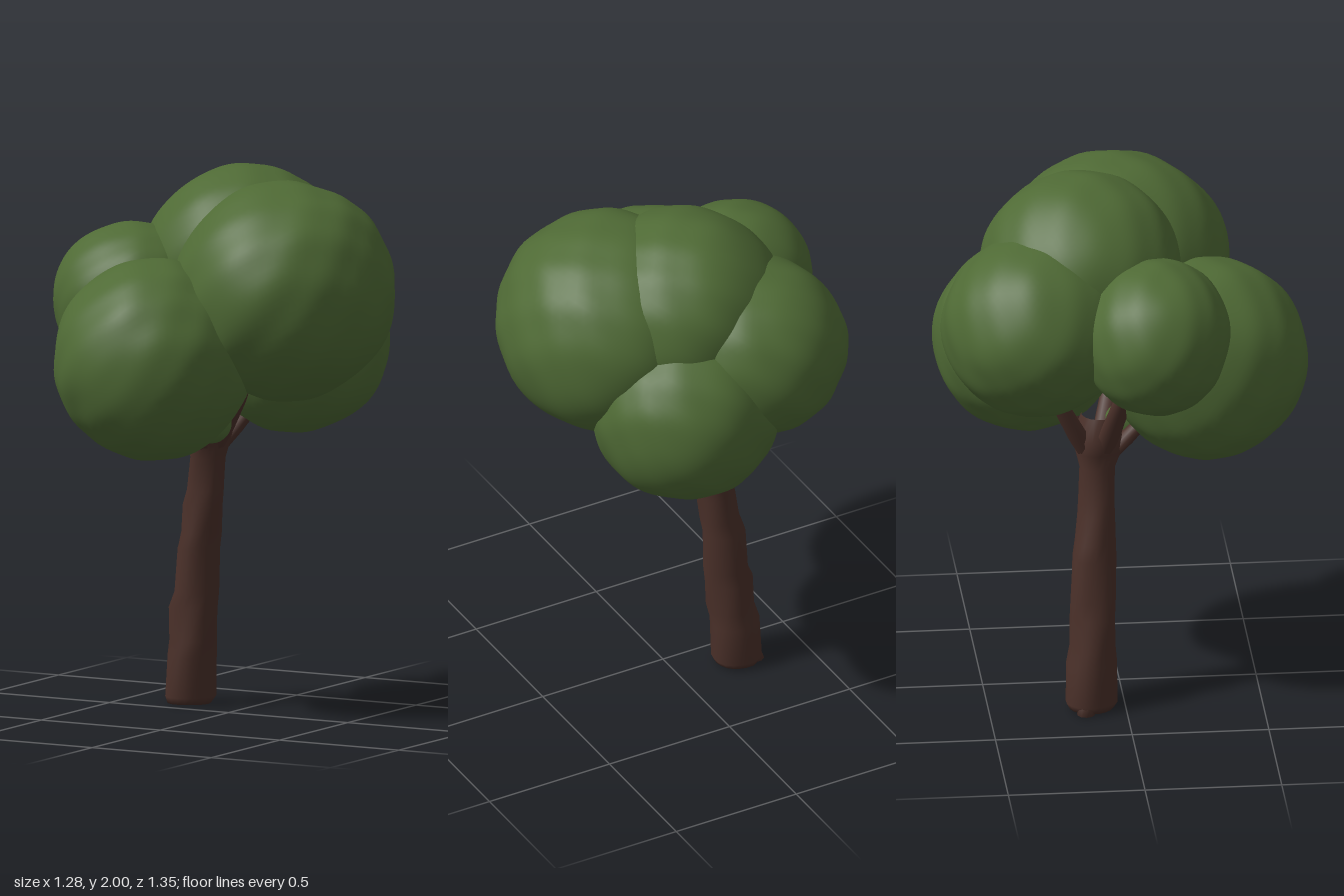
import * as THREE from 'three';
import { mergeVertices } from 'three/addons/utils/BufferGeometryUtils.js';

const leafGreen = new THREE.MeshStandardMaterial({ color: 0x4f6a35 });
leafGreen.name = 'leafGreen';
const barkBrown = new THREE.MeshStandardMaterial({ color: 0x4a3029 });
barkBrown.name = 'barkBrown';

// Gently lumpy ellipsoid with smooth normals
function leafGeometry([x, y, z], [rx, ry, rz], seed) {
  let g = new THREE.IcosahedronGeometry(1, 14);
  g.deleteAttribute('normal');
  g.deleteAttribute('uv');
  g = mergeVertices(g, 1e-4);
  const p = g.attributes.position;
  const v = new THREE.Vector3();
  for (let i = 0; i < p.count; i++) {
    v.fromBufferAttribute(p, i);
    const lump =
      0.012 * Math.sin(6 * v.x + seed) * Math.sin(5 * v.y + 2 * seed) +
      0.009 * Math.sin(11 * v.z + seed * 3) * Math.cos(10 * v.x - 9 * v.y + seed);
    v.multiplyScalar(1 + lump);
    p.setXYZ(i, x + v.x * rx, y + v.y * ry, z + v.z * rz);
  }
  g.computeVertexNormals();
  return g;
}

// Loft through horizontal sections [x, y, z, rx, rz], slightly uneven around
function loft(sections, sides, bump = 0) {
  const pos = [];
  const index = [];
  sections.forEach(([x, y, z, rx, rz], j) => {
    for (let i = 0; i < sides; i++) {
      const a = (i / sides) * Math.PI * 2;
      const k = 1 + bump * Math.sin(3 * a + j * 1.3) + bump * 0.6 * Math.sin(5 * a - j * 0.8);
      pos.push(x + Math.cos(a) * rx * k, y, z + Math.sin(a) * rz * k);
    }
  });
  for (let j = 0; j < sections.length - 1; j++) {
    for (let i = 0; i < sides; i++) {
      const a = j * sides + i;
      const b = j * sides + ((i + 1) % sides);
      index.push(a, a + sides, b, b, a + sides, b + sides);
    }
  }
  const g = new THREE.BufferGeometry();
  g.setAttribute('position', new THREE.Float32BufferAttribute(pos, 3));
  g.setIndex(index);
  g.computeVertexNormals();
  return g;
}

export function createModel() {
  const tree = new THREE.Group();
  tree.name = 'tree';
  const add = (name, geometry, material, parent = tree) => {
    const m = new THREE.Mesh(geometry, material);
    m.name = name;
    parent.add(m);
  };

  // Leaning trunk, closed at the foot and flared under the crown
  add('trunk', loft([
    [-0.235, 0.005, -0.125, 0, 0],
    [-0.237, 0.005, -0.125, 0.08, 0.08],
    [-0.235, 0.03, -0.126, 0.093, 0.095],
    [-0.228, 0.18, -0.124, 0.089, 0.093],
    [-0.215, 0.24, -0.116, 0.088, 0.084],
    [-0.212, 0.36, -0.115, 0.09, 0.083],
    [-0.197, 0.42, -0.114, 0.08, 0.083],
    [-0.19, 0.58, -0.112, 0.077, 0.08],
    [-0.175, 0.64, -0.106, 0.073, 0.074],
    [-0.165, 0.74, -0.1, 0.073, 0.069],
    [-0.152, 0.8, -0.097, 0.068, 0.066],
    [-0.142, 0.92, -0.095, 0.064, 0.064],
    [-0.135, 0.98, -0.09, 0.075, 0.085],
    [-0.13, 1.04, -0.09, 0.09, 0.09],
    [-0.13, 1.12, -0.09, 0.06, 0.06],
  ], 20, 0.03), barkBrown);

  // Foot spur on the outer side
  add('rootSpur', loft([
    [-0.3, 0, -0.15, 0, 0],
    [-0.3, 0, -0.15, 0.034, 0.034],
    [-0.295, 0.04, -0.145, 0.022, 0.03],
    [-0.28, 0.12, -0.14, 0.01, 0.015],
  ], 10), barkBrown);

  // Short branches spreading into the crown
  const branches = new THREE.Group();
  branches.name = 'branches';
  tree.add(branches);
  const tips = [
    [0.1, 1.28, 0], [-0.12, 1.18, 0.16], [-0.32, 1.36, 0.02],
    [-0.22, 1.28, -0.28], [0.04, 1.2, -0.26],
  ];
  tips.forEach(([tx, ty, tz], i) => {
    const at = (t, r) => [
      THREE.MathUtils.lerp(-0.138, tx, t),
      THREE.MathUtils.lerp(0.91, ty, t),
      THREE.MathUtils.lerp(-0.095, tz, t), r, r,
    ];
    add('branch' + (i + 1),
      loft([at(0, 0.035), at(0.35, 0.04), at(0.7, 0.034), at(1, 0.02)], 10, 0.04),
      barkBrown, branches);
  });

  // Overlapping rounded leaf masses: name, centre, radii
  const crown = new THREE.Group();
  crown.name = 'crown';
  tree.add(crown);
  [
    ['leftLeaves', [0.235, 1.57, 0], [0.4, 0.4, 0.425]],
    ['topLeaves', [0, 1.63, -0.14], [0.385, 0.37, 0.375]],
    ['frontLeaves', [-0.14, 1.33, 0.305], [0.365, 0.37, 0.37]],
    ['rightLeaves', [-0.34, 1.51, 0.1], [0.3, 0.285, 0.28]],
    ['backRightLeaves', [-0.195, 1.51, -0.325], [0.345, 0.33, 0.34]],
    ['backLeftLeaves', [0.09, 1.345, -0.33], [0.35, 0.345, 0.345]],
    ['lowerTuft', [-0.06, 1.06, 0.02], [0.07, 0.07, 0.08]],
  ].forEach(([name, c, r], i) => add(name, leafGeometry(c, r, i * 1.7 + 0.4), leafGreen, crown));

  return tree;
}
